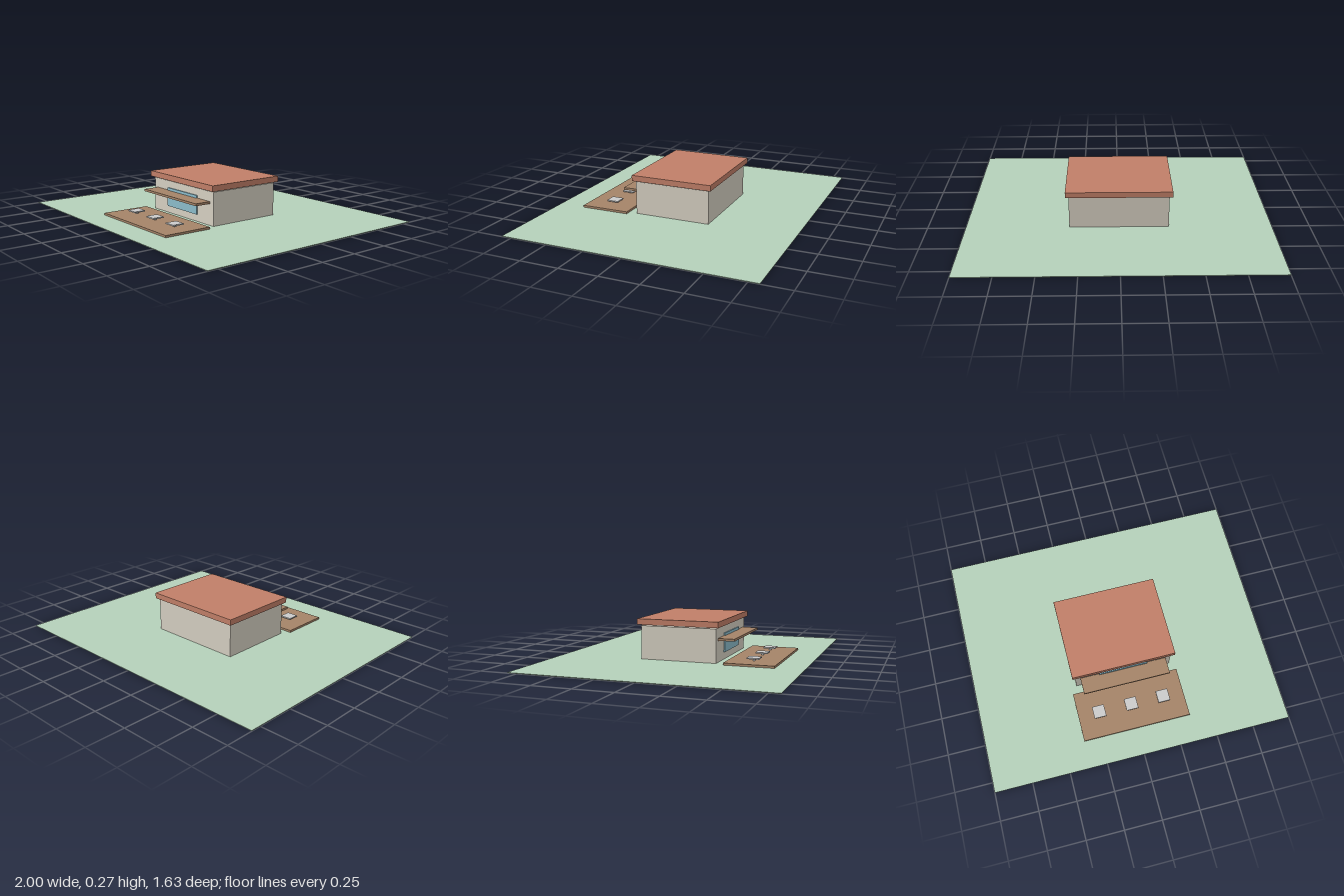
import * as THREE from 'three';

const paint = (color) => new THREE.MeshStandardMaterial({ color });

// Box given by its min and max along each axis
function slab(name, [x0, x1], [y0, y1], [z0, z1], material) {
  const mesh = new THREE.Mesh(new THREE.BoxGeometry(x1 - x0, y1 - y0, z1 - z0), material);
  mesh.position.set((x0 + x1) / 2, (y0 + y1) / 2, (z0 + z1) / 2);
  mesh.name = name;
  return mesh;
}

export function createModel() {
  const model = new THREE.Group();
  model.name = 'pavilion';
  const grass = paint(0xb5d1ba), plaster = paint(0xd6d0c2), tile = paint(0xc17f68);
  const wood = paint(0xa58468), glass = paint(0x8cbccb), grey = paint(0xcccccc);

  // Lawn and building
  model.add(
    slab('lawn', [-1, 1], [0, 0.004], [-0.817, 0.817], grass),
    slab('walls', [-0.325, 0.325], [0.004, 0.222], [-0.253, 0.253], plaster),
    slab('roof', [-0.345, 0.345], [0.23, 0.268], [-0.273, 0.273], tile),
    slab('window', [-0.163, 0.163], [0.051, 0.176], [0.254, 0.262], glass),
    slab('awning', [-0.291, 0.291], [0.143, 0.158], [0.254, 0.362], wood),
    slab('terrace', [-0.362, 0.362], [0.004, 0.018], [0.309, 0.636], wood)
  );

  // Row of square tables on the terrace
  for (const x of [-0.22, 0, 0.22]) {
    const table = new THREE.Group();
    table.name = 'table';
    table.position.set(x, 0, 0.472);
    table.add(
      slab('tableTop', [-0.04, 0.04], [0.032, 0.04], [-0.04, 0.04], grey),
      slab('tableLeg', [-0.007, 0.007], [0.018, 0.032], [-0.007, 0.007], grey)
    );
    model.add(table);
  }
  return model;
}
